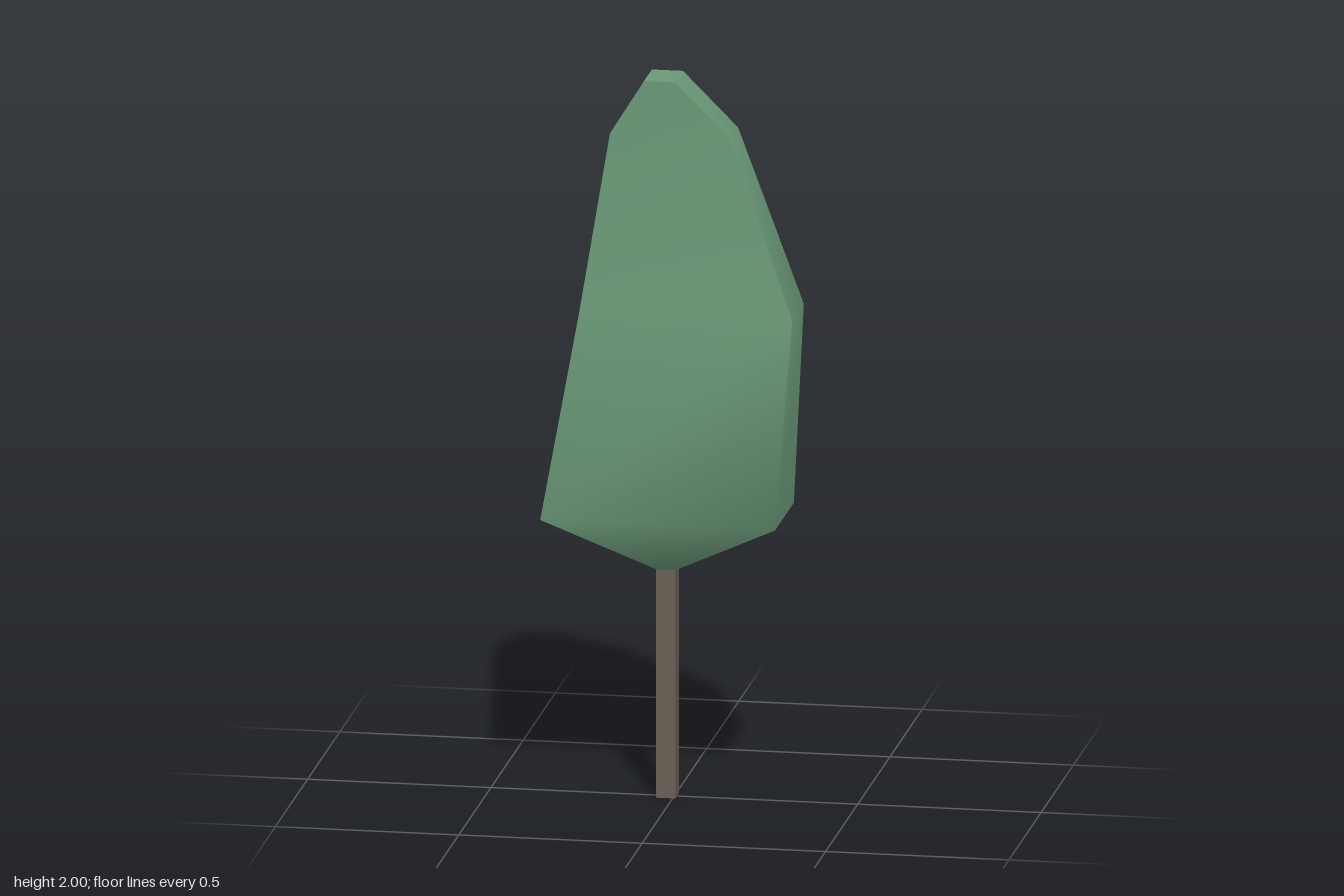
import * as THREE from 'three';
import { toCreasedNormals } from 'three/addons/utils/BufferGeometryUtils.js';

// Stacked rectangular cross-sections: [y, xMin, xMax, half depth]
const SECTIONS = [
  [0.635, -0.045, 0.008, 0.027],
  [0.79, -0.34, 0.30, 0.147],
  [1.36, -0.243, 0.337, 0.091],
  [1.85, -0.165, 0.163, 0.061],
  [2.0, -0.072, 0.013, 0.061],
];

// Joins the cross-sections with quads and closes both ends
function loftGeometry(sections) {
  const positions = [];
  const indices = [];
  for (const [y, x0, x1, d] of sections) {
    positions.push(x0, y, d, x1, y, d, x1, y, -d, x0, y, -d);
  }
  const quad = (a, b, c, d) => indices.push(a, b, c, a, c, d);
  for (let i = 0; i < sections.length - 1; i++) {
    for (let j = 0; j < 4; j++) {
      const k = (j + 1) % 4;
      quad(i * 4 + j, i * 4 + k, i * 4 + 4 + k, i * 4 + 4 + j);
    }
  }
  const top = (sections.length - 1) * 4;
  quad(3, 2, 1, 0);
  quad(top, top + 1, top + 2, top + 3);

  const geometry = new THREE.BufferGeometry();
  geometry.setAttribute('position', new THREE.Float32BufferAttribute(positions, 3));
  geometry.setIndex(indices);
  return toCreasedNormals(geometry, 0.765);
}

export function createModel() {
  const group = new THREE.Group();
  group.name = 'tree';

  // Faceted, lopsided crown
  const crown = new THREE.Mesh(
    loftGeometry(SECTIONS),
    new THREE.MeshStandardMaterial({ color: 0x6b9a78 })
  );
  crown.name = 'crown';
  group.add(crown);

  // Thin square trunk
  const trunk = new THREE.Mesh(
    new THREE.BoxGeometry(0.053, 0.64, 0.054),
    new THREE.MeshStandardMaterial({ color: 0x6a6054 })
  );
  trunk.name = 'trunk';
  trunk.position.set(-0.019, 0.32, 0);
  group.add(trunk);

  return group;
}
